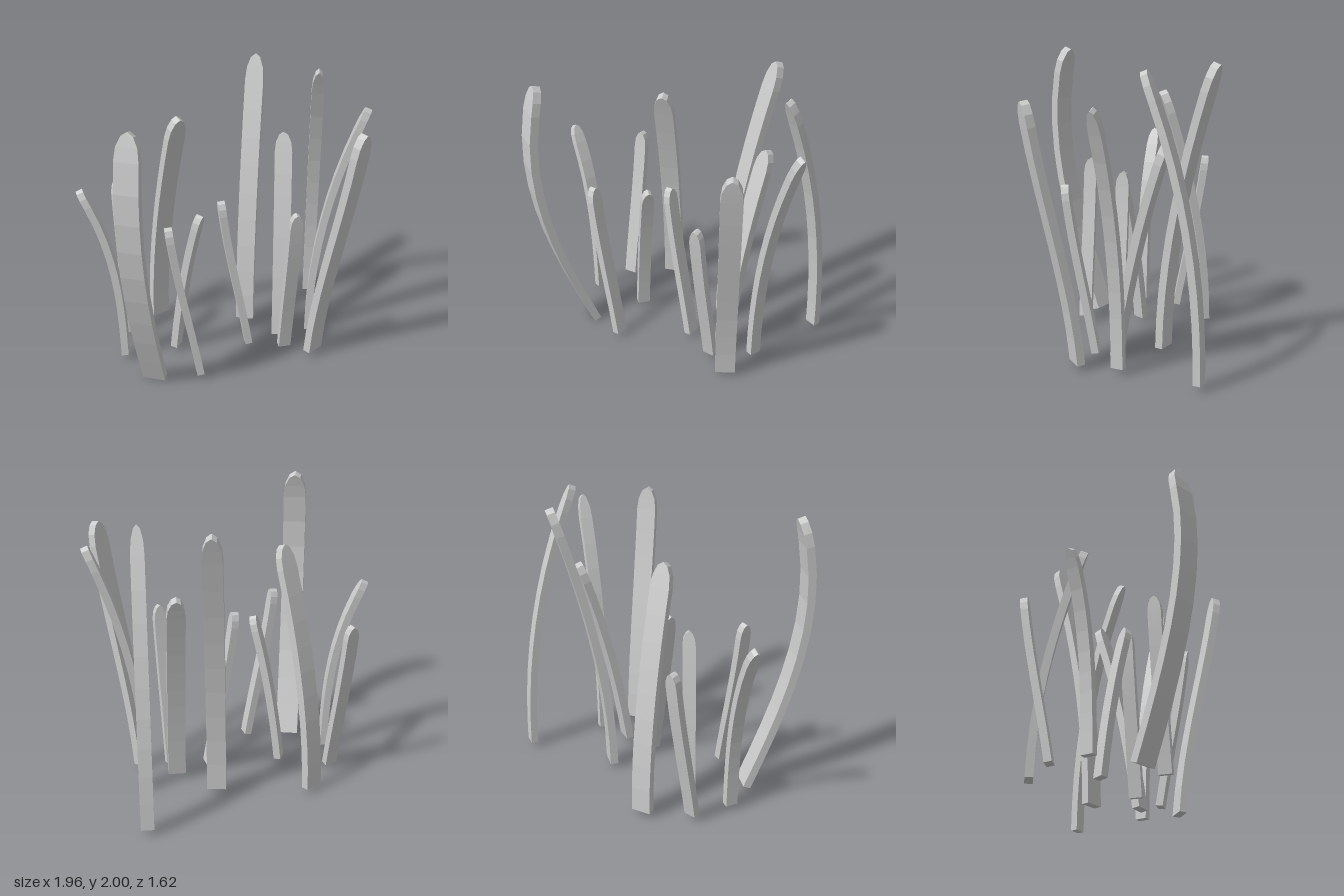
import * as THREE from 'three';

const BODY = 9, TIP = 3; // rows along the straight-sided body and the rounded tip
const TIP_START = 0.91;

// Bends: how strongly a blade leans at its root and at its tip (1 = even lean).
const recurved = [2.6, -2];
const righting = [0.95, 0.6];
const leaning = [0.45, 0.75];
const gentle = [0.6, 1.5];
const curving = [0.05, 1.75];
const arching = [0, 2.2];
const drooping = [0.1, 2.7];

// Root x, y, z, then tip x, y, z, width and bend.
const blades = [
  [-0.48, 0.012, 0.4, -0.55, 1.96, 0.7, 0.16, recurved],
  [-0.515, 0.04, -0.4, -0.32, 1.72, -0.14, 0.135, curving],
  [0.14, 0.04, -0.345, 0.2, 1.99, -0.71, 0.13, curving],
  [0.64, 0.04, -0.78, 0.625, 1.975, -0.39, 0.088, arching],
  [0.4, 0.045, -0.115, 0.4, 1.5, -0.46, 0.122, gentle],
  [0.61, 0.04, -0.215, 0.955, 1.78, -0.2, 0.085, arching],
  [0.63, 0.04, 0.07, 0.88, 1.79, 0.29, 0.138, leaning],
  [0.425, 0.045, 0.03, 0.477, 1.19, 0.22, 0.087, righting],
  [0.165, 0.045, -0.01, -0.03, 1.19, 0.03, 0.09, righting],
  [-0.165, 0.045, 0.39, -0.36, 1.19, 0.43, 0.09, righting],
  [-0.7, 0.045, -0.12, -0.775, 1.19, -0.305, 0.09, righting],
  [-0.71, 0.045, 0.165, -0.965, 1.325, 0.165, 0.085, drooping],
  [-0.355, 0.03, 0.03, -0.168, 1.12, 0.11, 0.088, gentle],
];

// A box whose rows follow a cubic lean from root to tip and narrow to a rounded end.
function bladeGeometry([x0, y0, z0, x1, y1, z1, width, [root, tip]]) {
  const rows = BODY + TIP;
  const thickness = width > 0.1 ? 0.055 : 0.05;
  const geometry = new THREE.BoxGeometry(width, 1, thickness, 1, rows, 1);
  const reach = Math.hypot(x1 - x0, z1 - z0), height = y1 - y0;
  const dx = (x1 - x0) / reach, dz = (z1 - z0) / reach;
  const pos = geometry.attributes.position;
  for (let i = 0; i < pos.count; i++) {
    const row = Math.round((pos.getY(i) + 0.5) * rows);
    const angle = Math.max(0, row - BODY) / TIP * Math.PI / 2;
    const u = row <= BODY ? TIP_START * row / BODY : TIP_START + (1 - TIP_START) * Math.sin(angle);

    // Lean and its slope at this height
    const lean = reach * (root * u * (1 - u) ** 2 + u * u * (3 - 2 * u) - tip * u * u * (1 - u));
    const slope = reach / height
      * (root * (1 - u) * (1 - 3 * u) + 6 * u * (1 - u) + tip * u * (3 * u - 2));
    const tilt = Math.atan(slope);

    // Place the row square to the centre line
    const across = pos.getX(i) * Math.max(0.05, Math.cos(angle));
    const depth = pos.getZ(i);
    const along = lean + depth * Math.cos(tilt);
    pos.setXYZ(i,
      x0 + dx * along + dz * across,
      y0 + height * u - depth * Math.sin(tilt),
      z0 + dz * along - dx * across);
  }
  geometry.computeVertexNormals();
  return geometry;
}

export function createModel() {
  const group = new THREE.Group();
  group.name = 'grassClump';
  const material = new THREE.MeshStandardMaterial({ color: 0xcccccc, flatShading: true });
  blades.forEach((blade, i) => {
    const mesh = new THREE.Mesh(bladeGeometry(blade), material);
    mesh.name = `blade${i + 1}`;
    group.add(mesh);
  });
  return group;
}
